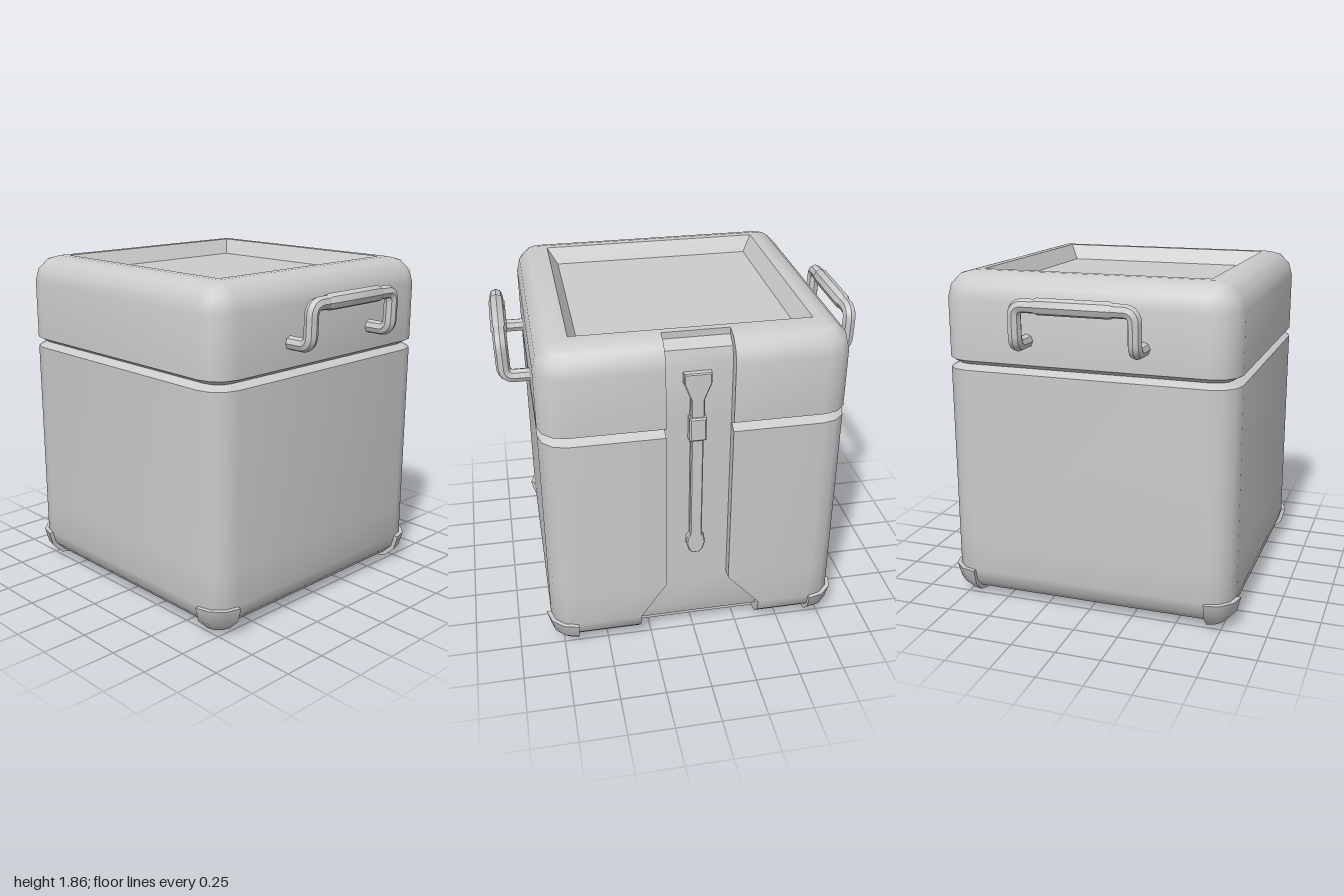
import * as THREE from 'three';
import { mergeGeometries, toCreasedNormals } from 'three/addons/utils/BufferGeometryUtils.js';

const material = new THREE.MeshStandardMaterial({ color: 0xcccccc });
const thinMaterial = new THREE.MeshStandardMaterial({ color: 0xcccccc, side: THREE.DoubleSide });

const HALF = 0.815, ROUND = 0.145, BOTTOM = 0.027, TOP = 1.865, SEAM = 1.365;
const STEPS = 3;

// Rounded edge as [inset from the side, distance from the flat top or bottom]
const EDGE = [[0, 0.145], [0.019, 0.0725], [0.056, 0.036], [0.0725, 0.0194], [0.145, 0]];

function addMesh(parent, name, geometry, crease = 0.5, mat = material) {
  const mesh = new THREE.Mesh(toCreasedNormals(geometry, crease), mat);
  mesh.name = name;
  parent.add(mesh);
  return mesh;
}

// Rounded-square ring with the strap channel cut into its +x side
function ring([h, y]) {
  const { clamp, lerp } = THREE.MathUtils;
  const r = Math.max(0, ROUND - (HALF - h));
  const end = clamp((ROUND - Math.min(y - BOTTOM, TOP - y)) / 0.109, 0, 1);
  const floor = Math.min(h, 0.67 + 0.084 * Math.sqrt(1 - end * end));
  const flare = clamp((0.38 - y) / 0.208, 0, 1);
  const z0 = clamp(lerp(0.169, 0.314, flare), -h, h);
  const z1 = clamp(lerp(-0.185, -0.37, flare), -h, h);
  const points = [[h, y, z0], [floor, y, z0], [floor, y, z1], [h, y, z1]];
  for (let k = 0; k < 4; k++) {
    const sx = k === 0 || k === 3 ? 1 : -1, sz = k < 2 ? -1 : 1;
    for (let i = 0; i <= STEPS; i++) {
      const a = (k + i / STEPS) * Math.PI / 2;
      points.push([sx * (h - r) + r * Math.cos(a), y, sz * (h - r) - r * Math.sin(a)]);
    }
  }
  return points;
}

// Skin over rings given as [half width, height], listed from the outside bottom upward
function loft(profile) {
  const rings = profile.map(ring), n = rings[0].length;
  const index = [];
  for (let i = 0; i < rings.length - 1; i++) {
    for (let j = 0; j < n; j++) {
      const a = i * n + j, b = i * n + (j + 1) % n;
      index.push(a, b, b + n, a, b + n, a + n);
    }
  }
  const geometry = new THREE.BufferGeometry();
  geometry.setAttribute('position', new THREE.Float32BufferAttribute(rings.flat(2), 3));
  geometry.setIndex(index);
  return geometry;
}

// Carrying handle: bent tube with a thicker grip, facing +z
function makeHandle() {
  const handle = new THREE.Group();
  const corners = [
    [-0.32, 1.525, 0.78], [-0.32, 1.525, 0.95], [-0.32, 1.735, 0.955],
    [0.32, 1.735, 0.955], [0.32, 1.525, 0.95], [0.32, 1.525, 0.78],
  ].map(p => new THREE.Vector3(...p));
  const path = new THREE.CurvePath();
  let from = corners[0];
  for (let i = 1; i < corners.length - 1; i++) {
    const c = corners[i];
    const towards = q => c.clone().add(q.clone().sub(c).setLength(0.055));
    const a = towards(corners[i - 1]), b = towards(corners[i + 1]);
    path.add(new THREE.LineCurve3(from, a));
    path.add(new THREE.QuadraticBezierCurve3(a, c, b));
    from = b;
  }
  path.add(new THREE.LineCurve3(from, corners[5]));
  addMesh(handle, 'handleBar', new THREE.TubeGeometry(path, 90, 0.037, 8));

  const profile = [[0.03, -0.225], [0.044, -0.195], [0.044, 0.195], [0.03, 0.225]]
    .map(p => new THREE.Vector2(...p));
  const grip = addMesh(handle, 'handleGrip', new THREE.LatheGeometry(profile, 8));
  grip.rotation.z = Math.PI / 2;
  grip.position.set(0, 1.735, 0.955);
  return handle;
}

// Flat part standing in the channel; half outline as [half width, height]
function strapPart(parent, name, outline, depth, bevel) {
  const mirrored = outline.map(([w, y]) => [-w, y]).reverse();
  const shape = new THREE.Shape([...outline, ...mirrored].map(p => new THREE.Vector2(...p)));
  const geometry = new THREE.ExtrudeGeometry(shape, {
    depth: depth - bevel, bevelThickness: bevel, bevelSize: bevel, bevelOffset: -bevel, bevelSegments: 1,
  });
  const mesh = addMesh(parent, name, geometry);
  mesh.rotation.y = Math.PI / 2;
  mesh.position.x = 0.745;
}

// Protective corner cap: one eighth of a ball with closed sides
function makeCornerGuard() {
  const r = 0.17, q = Math.PI / 2;
  return mergeGeometries([
    new THREE.SphereGeometry(r, STEPS, STEPS, q, q, q, q),
    new THREE.CircleGeometry(r, STEPS, -q, q),
    new THREE.CircleGeometry(r, STEPS, -q, q).rotateX(-q),
    new THREE.CircleGeometry(r, STEPS, Math.PI, q).rotateY(q),
  ]);
}

export function createModel() {
  const model = new THREE.Group();
  model.name = 'storageCase';

  // Lower box, up to the middle of the seam groove
  addMesh(model, 'caseBody', loft([
    [0, BOTTOM],
    ...EDGE.map(([inset, d]) => [HALF - inset, BOTTOM + d]).reverse(),
    [HALF, 0.38], [HALF, 1.34], [0.765, SEAM],
  ]), 0.7);

  // Lid with a shallow sunken tray on top
  addMesh(model, 'lid', loft([
    [0.765, SEAM], [HALF, 1.393],
    ...EDGE.map(([inset, d]) => [HALF - inset, TOP - d]),
    [0.628, TOP], [0.572, 1.78], [0, 1.78],
  ]), 0.7);

  // Handles on the front and back
  for (const side of [0, 1]) {
    const handle = makeHandle();
    handle.name = side ? 'backHandle' : 'frontHandle';
    handle.rotation.y = side * Math.PI;
    handle.position.x = side ? -0.01 : 0.015;
    model.add(handle);
  }

  // Latch strap in the channel
  const latch = new THREE.Group();
  latch.name = 'latch';
  strapPart(latch, 'latchStrap', [
    [0.02, 0.565], [0.04, 0.59], [0.052, 0.63], [0.047, 0.67], [0.033, 0.69], [0.033, 1.36],
  ], 0.045, 0.006);
  strapPart(latch, 'latchPull', [
    [0.036, 1.36], [0.036, 1.53], [0.072, 1.62], [0.072, 1.68],
  ], 0.045, 0.006);
  strapPart(latch, 'latchBuckle', [[0.045, 1.295], [0.045, 1.43]], 0.06, 0.008);
  model.add(latch);

  // Guards on the four bottom corners
  for (let k = 0; k < 4; k++) {
    const guard = addMesh(model, 'cornerGuard', makeCornerGuard(), 0.7, thinMaterial);
    const a = k * Math.PI / 2, d = 0.67 * Math.SQRT2;
    guard.rotation.y = a;
    guard.position.set(d * Math.sin(a + Math.PI / 4), 0.172, d * Math.cos(a + Math.PI / 4));
  }
  return model;
}
